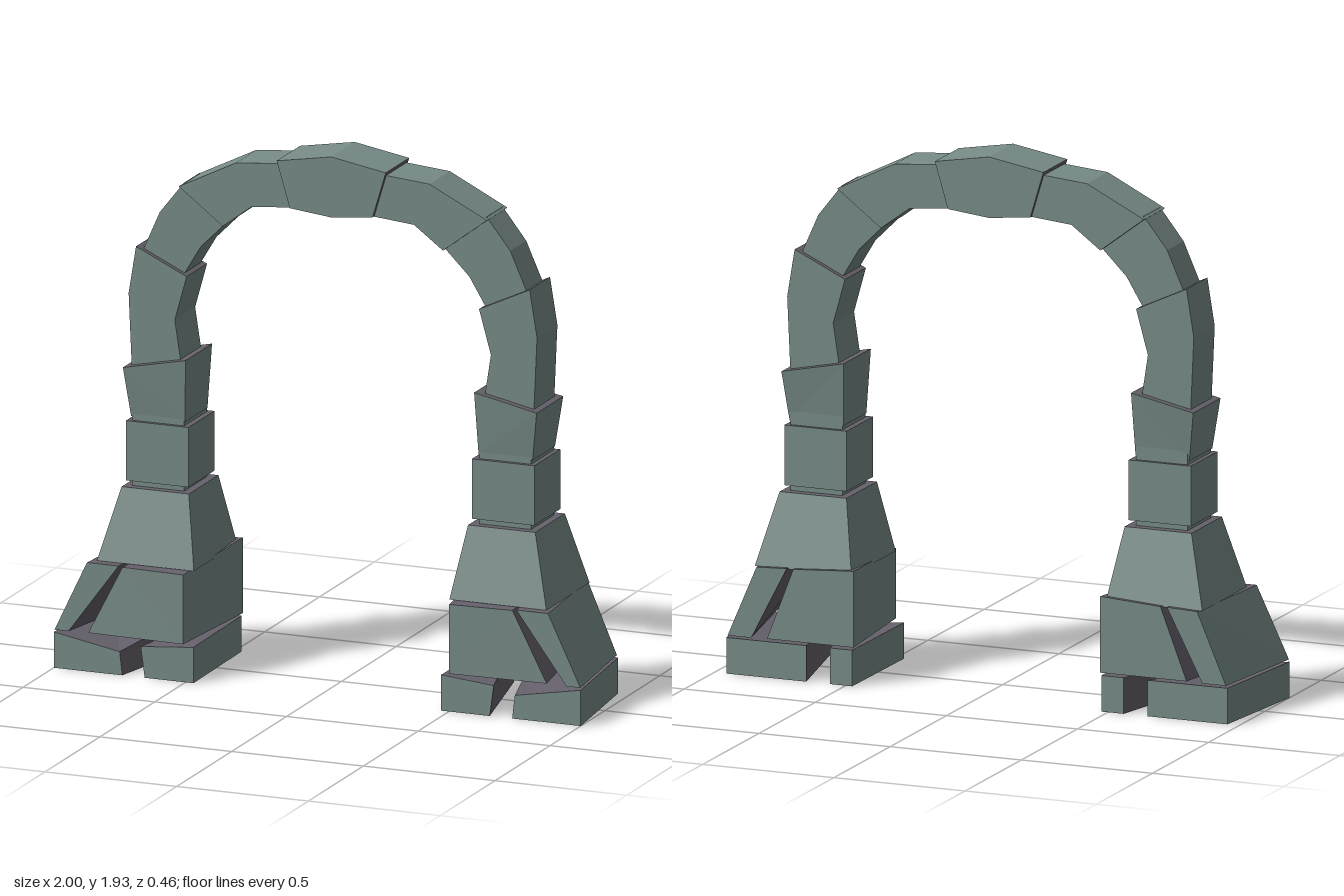
import * as THREE from 'three';

const stone = new THREE.MeshStandardMaterial({ color: 0x788c88 });
stone.name = 'stone';
const joint = new THREE.MeshStandardMaterial({ color: 0x66616c });
joint.name = 'joint';
const materials = [stone, joint];

// Faceted block lofted through four-cornered sections, ordered
// inner front, outer front, outer back, inner back.
// jointFaces lists the faces that take the joint colour: 0-3 sides, 4 first cap, 5 last cap.
function block(name, sections, side = 1, jointFaces = [4, 5]) {
  const pos = [];
  const geo = new THREE.BufferGeometry();
  const quad = (a, b, c, d, face) => {
    const start = pos.length / 3;
    const tris = side > 0 ? [a, b, c, a, c, d] : [a, c, b, a, d, c];
    for (const [x, y, z] of tris) pos.push(x * side, y, z);
    geo.addGroup(start, 6, jointFaces.includes(face) ? 1 : 0);
  };
  for (let i = 0; i < sections.length - 1; i++) {
    const a = sections[i], b = sections[i + 1];
    for (let k = 0; k < 4; k++) {
      const n = (k + 1) % 4;
      quad(a[k], a[n], b[n], b[k], k);
    }
  }
  const first = sections[0], last = sections[sections.length - 1];
  quad(first[3], first[2], first[1], first[0], 4);
  quad(last[0], last[1], last[2], last[3], 5);
  geo.setAttribute('position', new THREE.Float32BufferAttribute(pos, 3));
  geo.computeVertexNormals();
  const mesh = new THREE.Mesh(geo, materials);
  mesh.name = name;
  return mesh;
}

// Section from an inner point, an outer point and the front and back depth
const cut = (ix, iy, ox, oy, zf, zb) =>
  [[ix, iy, zf], [ox, oy, zf], [ox, oy, zb], [ix, iy, zb]];

function createLeg(side) {
  const leg = new THREE.Group();
  leg.name = side > 0 ? 'leftHalf' : 'rightHalf';
  const add = (name, sections, faces) => leg.add(block(name, sections, side, faces));

  // Two ground stones with a slanting gap between them
  add('innerFootStone', [
    [[0.47, 0, 0.22], [0.655, 0, 0.22], [0.56, 0, -0.23], [0.475, 0, -0.23]],
    [[0.47, 0.13, 0.22], [0.67, 0.112, 0.22], [0.56, 0.13, -0.23], [0.475, 0.13, -0.23]],
  ], [1, 5]);
  add('outerFootStone', [
    [[0.74, 0, 0.22], [1, 0, 0.22], [0.955, 0, -0.23], [0.65, 0, -0.23]],
    [[0.75, 0.085, 0.22], [1, 0.13, 0.22], [0.955, 0.13, -0.23], [0.65, 0.13, -0.23]],
  ], [3, 5]);

  // Split base tier with a diagonal crack
  add('innerBaseStone', [
    [[0.505, 0.14, 0.23], [0.87, 0.14, 0.218], [0.8, 0.14, -0.23], [0.47, 0.14, -0.23]],
    [[0.505, 0.392, 0.23], [0.74, 0.392, 0.218], [0.7, 0.4, -0.23], [0.47, 0.415, -0.23]],
  ], [1, 4, 5]);
  add('outerBaseStone', [
    [[0.945, 0.138, 0.218], [0.998, 0.138, 0.218], [0.95, 0.138, -0.23], [0.86, 0.138, -0.23]],
    [[0.755, 0.395, 0.218], [0.875, 0.395, 0.218], [0.84, 0.395, -0.23], [0.725, 0.4, -0.23]],
  ], [3, 4, 5]);

  // Pillar stones
  add('taperedStone', [
    cut(0.485, 0.395, 0.853, 0.395, 0.18, -0.214),
    cut(0.53, 0.655, 0.785, 0.655, 0.118, -0.152),
  ]);
  add('pillarCore', [
    cut(0.56, 0.6, 0.757, 0.6, 0.088, -0.12),
    cut(0.56, 0.95, 0.757, 0.95, 0.088, -0.12),
  ]);
  add('pillarStone', [
    cut(0.538, 0.675, 0.775, 0.675, 0.103, -0.134),
    cut(0.538, 0.892, 0.775, 0.892, 0.103, -0.134),
  ]);
  add('flaredStone', [
    cut(0.557, 0.906, 0.762, 0.906, 0.087, -0.117),
    cut(0.548, 1.135, 0.785, 1.085, 0.106, -0.137),
  ]);

  // Curved arch stones
  add('lowerArchStone', [
    cut(0.577, 1.12, 0.763, 1.08, 0.078, -0.108),
    cut(0.6, 1.27, 0.775, 1.35, 0.078, -0.108),
    cut(0.555, 1.432, 0.747, 1.522, 0.078, -0.108),
  ]);
  add('middleArchStone', [
    cut(0.573, 1.435, 0.727, 1.51, 0.058, -0.088),
    cut(0.51, 1.54, 0.665, 1.65, 0.058, -0.088),
    cut(0.405, 1.645, 0.575, 1.765, 0.058, -0.088),
  ]);
  add('upperArchStone', [
    cut(0.418, 1.63, 0.585, 1.757, 0.078, -0.108),
    cut(0.308, 1.712, 0.367, 1.866, 0.078, -0.108),
    cut(0.155, 1.726, 0.195, 1.881, 0.078, -0.108),
  ]);
  return leg;
}

export function createModel() {
  const arch = new THREE.Group();
  arch.name = 'stoneArch';
  arch.add(createLeg(1), createLeg(-1));
  // Central stone joining both halves
  arch.add(block('keystone', [
    cut(0.157, 1.727, 0.207, 1.894, 0.093, -0.121),
    cut(0, 1.71, 0, 1.93, 0.093, -0.121),
    cut(-0.157, 1.727, -0.207, 1.894, 0.093, -0.121),
  ]));
  return arch;
}
